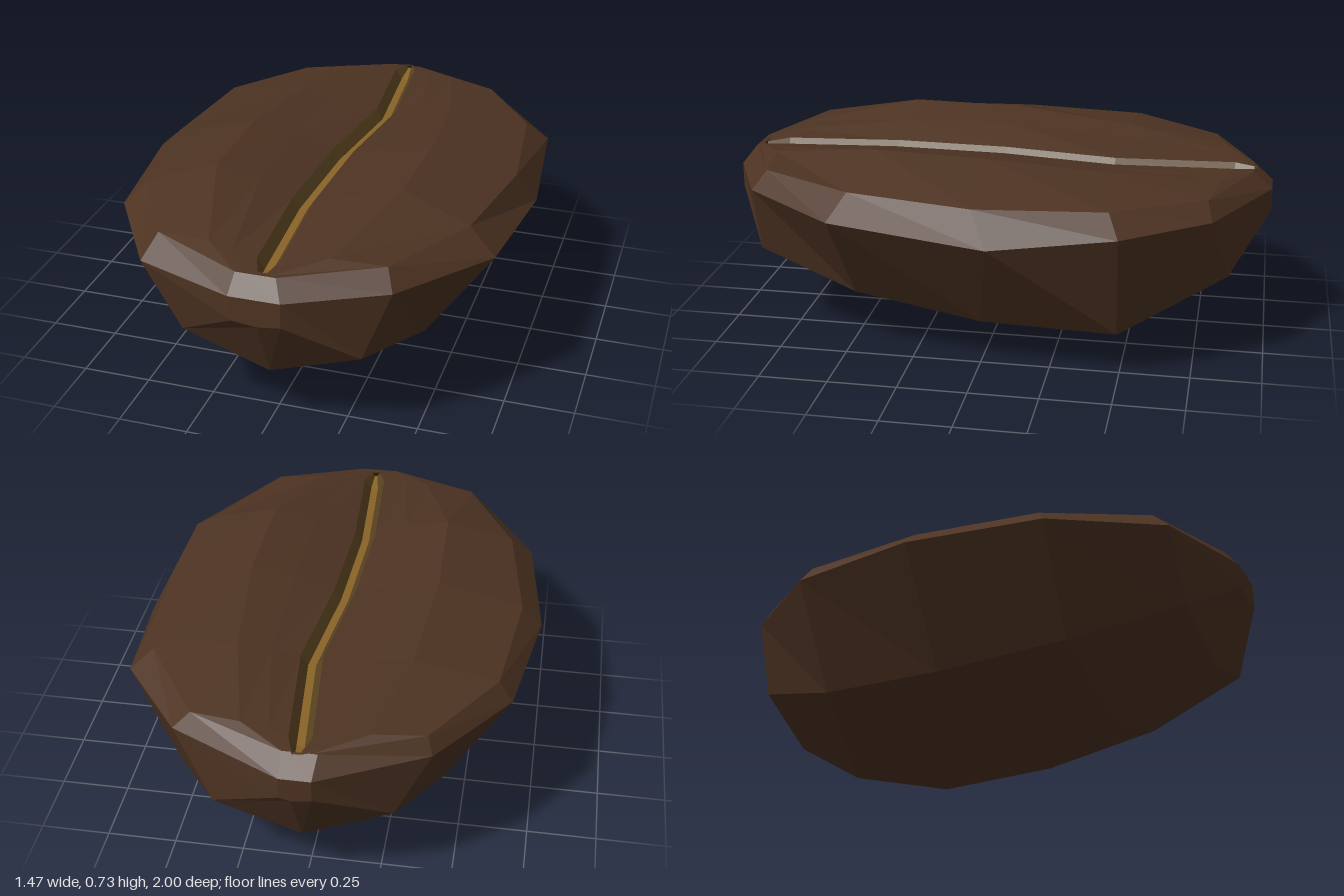
import * as THREE from 'three';

// Rails run from the back tip to the front tip; each point is [x, y, z].
const keel = [[0.02, 0.48, -1], [0.01, 0.22, -0.87], [0.03, 0.06, -0.62], [0.06, 0, 0.06],
  [0, 0.06, 0.5], [0.01, 0.22, 0.87], [0.02, 0.47, 1]];
const chineLeft = [[0.06, 0.49, -1], [0.32, 0.32, -0.86], [0.53, 0.16, -0.49], [0.5, 0.16, 0],
  [0.45, 0.22, 0.47], [0.33, 0.32, 0.86], [0.1, 0.48, 1]];
const chineRight = [[-0.05, 0.49, -1], [-0.3, 0.33, -0.84], [-0.44, 0.21, -0.48], [-0.48, 0.18, 0],
  [-0.44, 0.22, 0.48], [-0.3, 0.33, 0.87], [-0.07, 0.48, 1]];
const rimLeft = [[0.06, 0.57, -1], [0.46, 0.57, -0.8], [0.69, 0.57, -0.5], [0.73, 0.52, -0.06],
  [0.69, 0.57, 0.5], [0.43, 0.58, 0.85], [0.1, 0.57, 1]];
const rimRight = [[-0.05, 0.57, -1], [-0.42, 0.57, -0.81], [-0.66, 0.57, -0.48], [-0.735, 0.57, 0],
  [-0.67, 0.57, 0.5], [-0.44, 0.57, 0.87], [-0.08, 0.57, 1]];
// Upper rails of one side, mirrored for the other
const shoulder = [[0.06, 0.63, -0.93], [0.4, 0.63, -0.78], [0.61, 0.64, -0.46], [0.66, 0.64, 0],
  [0.59, 0.65, 0.45], [0.4, 0.65, 0.8], [0.07, 0.635, 0.95]];
const hump = [[0.04, 0.63, -0.93], [0.22, 0.645, -0.82], [0.31, 0.68, -0.44], [0.35, 0.72, 0],
  [0.34, 0.73, 0.41], [0.21, 0.66, 0.82], [0.05, 0.635, 0.94]];
const innerHump = [[0.03, 0.63, -0.93], [0.12, 0.64, -0.84], [0.19, 0.66, -0.43], [0.19, 0.69, 0],
  [0.18, 0.69, 0.42], [0.12, 0.65, 0.84], [0.04, 0.635, 0.93]];
// Centre line of the crease
const crease = [[0.01, 0.63, -0.94], [0.01, 0.635, -0.86], [0.05, 0.64, -0.42], [0, 0.645, 0],
  [-0.015, 0.645, 0.42], [0.01, 0.64, 0.85], [0.015, 0.63, 0.93]];

const mirror = (rail) => rail.map(([x, y, z]) => [-x, y, z]);
// Shift the crease sideways by dx and down by dy, narrowing at both tips
const creaseRail = (dx, dy) => crease.map(([x, y, z], k) => {
  const s = k === 0 || k === 6 ? 0.35 : 1;
  return [x + dx * s, y - dy * s, z];
});

// Skin neighbouring rails with quads; optionally close both ends
function skin(rails, closeEnds) {
  const pos = [];
  const quad = (a, b, c, d) => pos.push(...a, ...b, ...c, ...a, ...c, ...d);
  const n = rails.length;
  const last = rails[0].length - 1;
  for (let j = 0; j < n - 1; j++) {
    for (let k = 0; k < last; k++) {
      quad(rails[j][k], rails[j + 1][k], rails[j + 1][k + 1], rails[j][k + 1]);
    }
  }
  if (closeEnds) {
    for (let i = 0; i < (n - 1) / 2; i++) {
      const m = n - 1 - i;
      quad(rails[i][last], rails[i + 1][last], rails[m - 1][last], rails[m][last]);
      quad(rails[m][0], rails[m - 1][0], rails[i + 1][0], rails[i][0]);
    }
  }
  const geo = new THREE.BufferGeometry();
  geo.setAttribute('position', new THREE.Float32BufferAttribute(pos, 3));
  geo.computeVertexNormals();
  return geo;
}

function addMesh(group, name, geometry, color) {
  const material = new THREE.MeshStandardMaterial({ color, flatShading: true, side: THREE.DoubleSide });
  const mesh = new THREE.Mesh(geometry, material);
  mesh.name = name;
  group.add(mesh);
}

export function createModel() {
  const group = new THREE.Group();
  group.name = 'coffeeBean';
  const lipLeft = creaseRail(0.04, 0);
  const lipRight = creaseRail(-0.04, 0);
  const floorLeft = creaseRail(0.014, 0.04);
  const floorRight = creaseRail(-0.014, 0.04);

  // Faceted shell, from one lip of the crease round the underside to the other
  addMesh(group, 'beanBody', skin([
    lipRight, mirror(innerHump), mirror(hump), mirror(shoulder), rimRight, chineRight, keel,
    chineLeft, rimLeft, shoulder, hump, innerHump, lipLeft,
  ], true), 0x4d3322);

  // Crease walls and floor
  addMesh(group, 'creaseWallLeft', skin([lipLeft, floorLeft]), 0x5a4320);
  addMesh(group, 'creaseWallRight', skin([floorRight, lipRight]), 0x5a4320);
  addMesh(group, 'creaseFloor', skin([floorLeft, floorRight]), 0x8a6428);
  return group;
}
